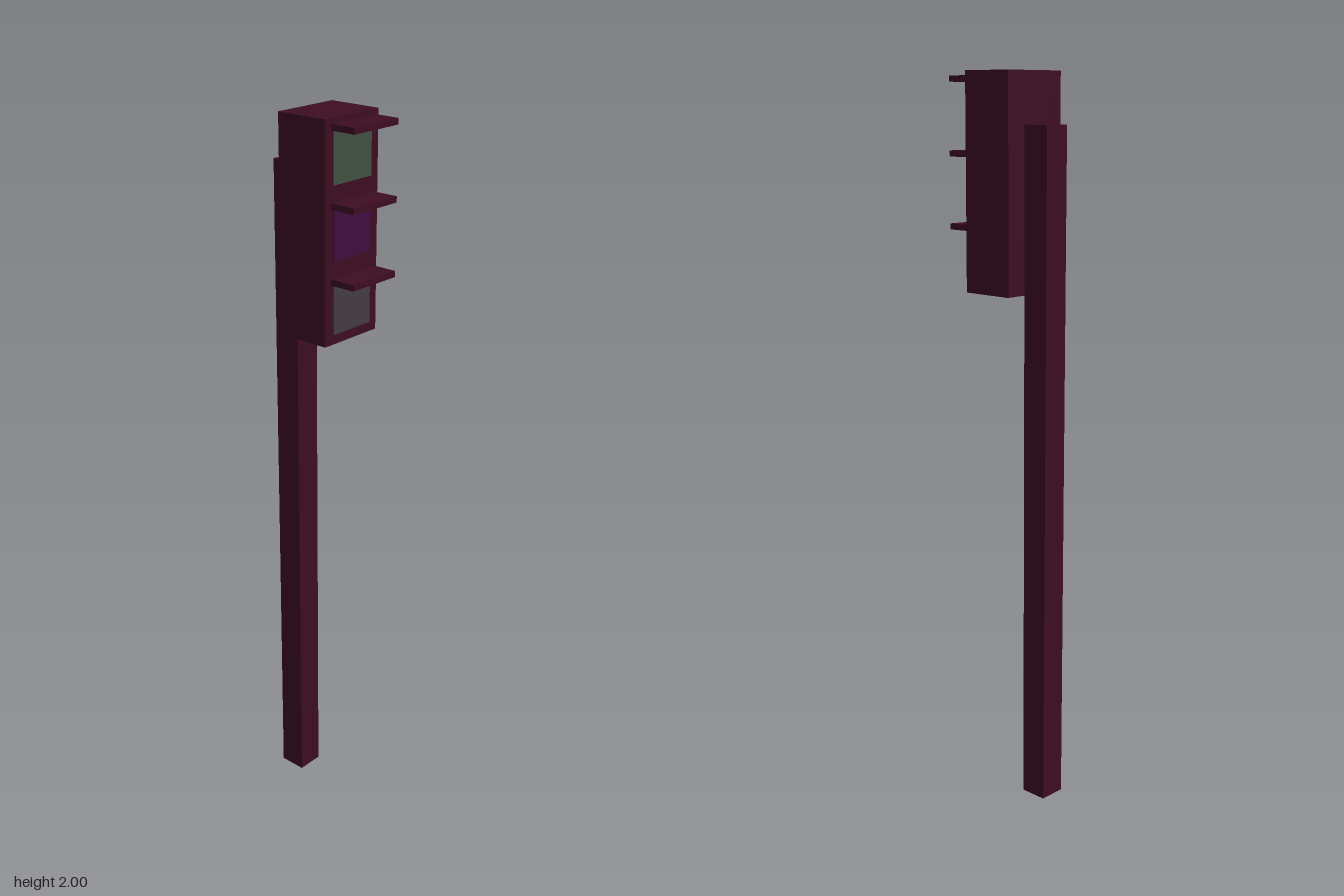
import * as THREE from 'three';

export function createModel() {
  const model = new THREE.Group();
  model.name = 'trafficLight';

  const material = (name, color) => {
    const m = new THREE.MeshStandardMaterial({ color });
    m.name = name;
    return m;
  };
  const maroon = material('dark maroon', 0x3d0d22);
  const lampColours = [
    material('dull green', 0x435043),
    material('dark purple', 0x400d40),
    material('dull grey', 0x433c43),
  ];

  // Box given by its size, its bottom height and its centre depth
  const addBox = (name, mat, w, h, d, bottom, z) => {
    const mesh = new THREE.Mesh(new THREE.BoxGeometry(w, h, d), mat);
    mesh.name = name;
    mesh.position.set(0, bottom + h / 2, z);
    model.add(mesh);
  };

  // Square post behind the lamp housing
  addBox('post', maroon, 0.076, 1.865, 0.077, 0, -0.1155);
  addBox('housing', maroon, 0.198, 0.573, 0.153, 1.427, -0.0005);

  // Three lamps, each with a flat visor above it
  const names = ['top', 'middle', 'bottom'];
  lampColours.forEach((colour, i) => {
    const drop = i * 0.192;
    addBox(names[i] + 'Lamp', colour, 0.14, 0.132, 0.004, 1.838 - drop, 0.078);
    addBox(names[i] + 'Visor', maroon, 0.163, 0.016, 0.073, 1.972 - drop, 0.1175);
  });

  return model;
}
